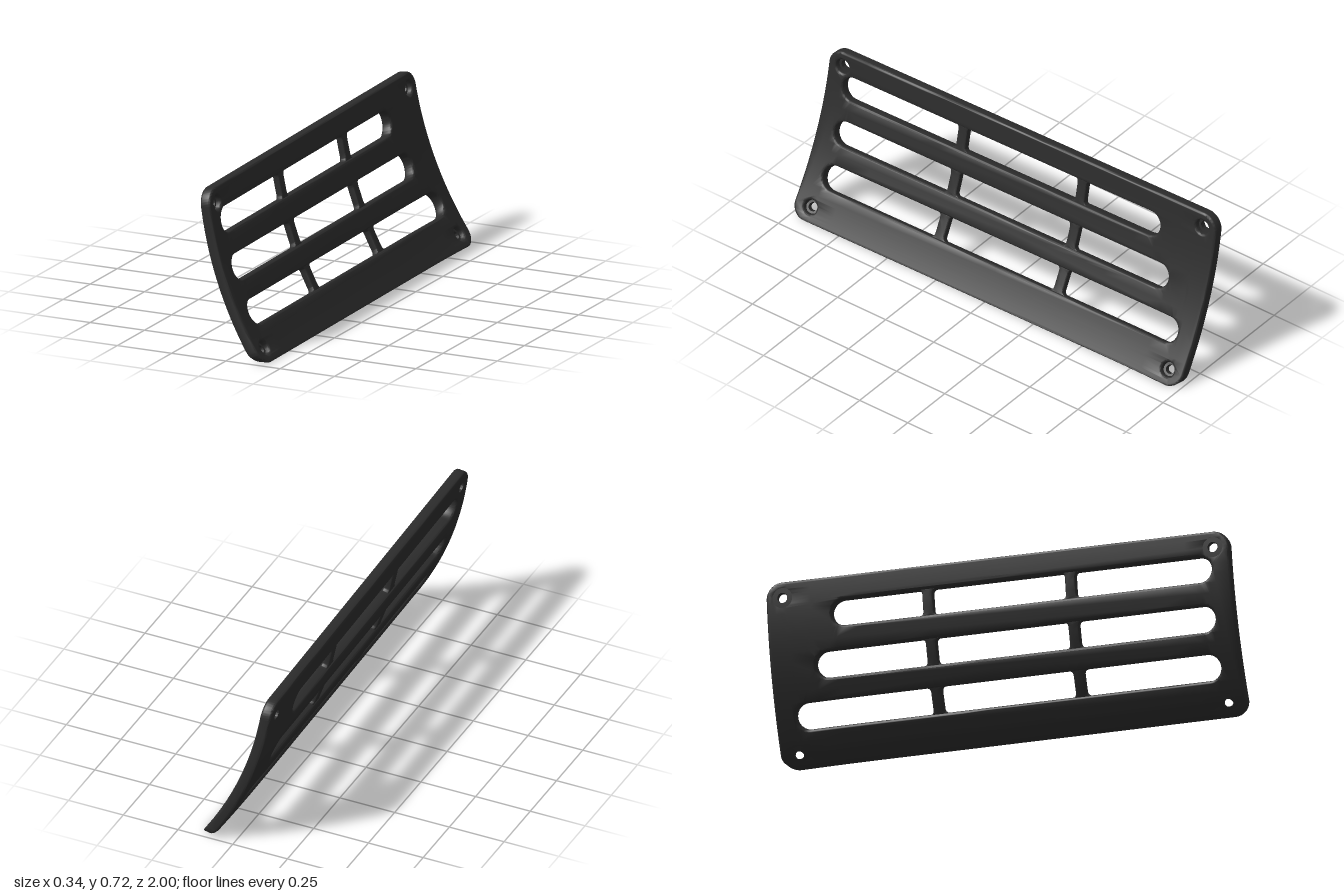
import * as THREE from 'three';
import { toCreasedNormals } from 'three/addons/utils/BufferGeometryUtils.js';

// Plate is drawn flat (a along its length, s up its arc, c through its thickness), then bent.
const T = 0.048, L = 0.773, TH0 = 0.611, R = 1.528, BEVEL = 0.01;

const material = new THREE.MeshStandardMaterial({ color: 0x2c2c2c });

// Keep the part of a polygon on one side of a plane
function clip(poly, axis, level, sign) {
  const out = [];
  poly.forEach((p, i) => {
    const q = poly[(i + 1) % poly.length];
    const dp = (p[axis] - level) * sign, dq = (q[axis] - level) * sign;
    if (dp >= 0) out.push(p);
    if ((dp > 0 && dq < 0) || (dp < 0 && dq > 0)) out.push(p.clone().lerp(q, dp / (dp - dq)));
  });
  return out;
}

// Cut triangles into bands so that flat faces can bend
function slice(tris, axis, step) {
  const out = [];
  for (const tri of tris) {
    const v = tri.map((p) => p[axis]);
    const lo = Math.floor(Math.min(...v) / step), hi = Math.floor(Math.max(...v) / step);
    for (let k = lo; k <= hi; k++) {
      const poly = clip(clip(tri, axis, k * step, 1), axis, (k + 1) * step, -1);
      for (let i = 1; i + 1 < poly.length; i++) {
        const t = [poly[0], poly[i], poly[i + 1]];
        if (new THREE.Triangle(...t).getArea() > 1e-10) out.push(t);
      }
    }
  }
  return out;
}

// Flat point to curved point: circular arc, skewed a little along the length
function bend(p) {
  const s = p.y, z = -p.x, d = T - p.z, th = TH0 - s / R;
  const flare = 0.01 * Math.max(0, (-z - 0.6) / 0.4) ** 2 * (1 - s / L);
  const x = 0.163 - R * (Math.cos(th) - Math.cos(TH0)) + z * (0.015 + 0.0065 * s / L) + flare;
  const y = R * (Math.sin(TH0) - Math.sin(th));
  const tilt = THREE.MathUtils.clamp(s / 0.08, 0, 1);
  return [x - d * Math.cos(th), y - d * Math.sin(th) * tilt, z];
}

function bentMesh(geometry, name) {
  const g = geometry.index ? geometry.toNonIndexed() : geometry;
  const pos = g.attributes.position;
  let tris = [];
  for (let i = 0; i < pos.count; i += 3) {
    tris.push([0, 1, 2].map((j) => new THREE.Vector3().fromBufferAttribute(pos, i + j)));
  }
  tris = slice(slice(tris, 'y', 0.04), 'x', 0.1);
  const bent = new THREE.BufferGeometry();
  bent.setAttribute('position', new THREE.Float32BufferAttribute(tris.flat().flatMap(bend), 3));
  const mesh = new THREE.Mesh(toCreasedNormals(bent, 0.65), material);
  mesh.name = name;
  return mesh;
}

function extrude(shape, from, to, bevel) {
  const g = new THREE.ExtrudeGeometry(shape, {
    depth: to - from - 2 * bevel, bevelThickness: bevel, bevelSize: bevel,
    bevelOffset: -bevel, bevelSegments: 3, curveSegments: 10,
  });
  return g.translate(0, 0, from + bevel);
}

function circlePath(x, y, r) {
  return new THREE.Path().absarc(x, y, r, 0, Math.PI * 2, true);
}

// Slot with round ends
function slotPath(a0, a1, s, r) {
  const p = new THREE.Path();
  p.absarc(a0 + r, s, r, -Math.PI / 2, Math.PI / 2, true);
  p.absarc(a1 - r, s, r, Math.PI / 2, -Math.PI / 2, true);
  p.closePath();
  return p;
}

// Slightly tapered outline with rounded corners
function plateShape() {
  const r = 0.07, b = 1.0, t = 0.99, k = new THREE.Shape();
  k.moveTo(-b + r, 0);
  k.lineTo(b - r, 0);
  k.absarc(b - r, r, r, -Math.PI / 2, 0, false);
  k.lineTo(t, L - r);
  k.absarc(t - r, L - r, r, 0, Math.PI / 2, false);
  k.lineTo(-t + r, L);
  k.absarc(-t + r, L - r, r, Math.PI / 2, Math.PI, false);
  k.lineTo(-b, r);
  k.absarc(-b + r, r, r, Math.PI, Math.PI * 1.5, false);
  return k;
}

// Cross rib that widens in a fillet where it meets the slot walls
function ribShape(a, s, slotR) {
  const w = 0.023, f = 0.02, h = slotR + 0.005, e = slotR - f;
  const k = new THREE.Shape();
  k.moveTo(a - w - f, s - h);
  k.lineTo(a + w + f, s - h);
  k.lineTo(a + w + f, s - slotR);
  k.quadraticCurveTo(a + w, s - slotR, a + w, s - e);
  k.lineTo(a + w, s + e);
  k.quadraticCurveTo(a + w, s + slotR, a + w + f, s + slotR);
  k.lineTo(a + w + f, s + h);
  k.lineTo(a - w - f, s + h);
  k.lineTo(a - w - f, s + slotR);
  k.quadraticCurveTo(a - w, s + slotR, a - w, s + e);
  k.lineTo(a - w, s - e);
  k.quadraticCurveTo(a - w, s - slotR, a - w - f, s - slotR);
  return k;
}

export function createModel() {
  const group = new THREE.Group();
  group.name = 'ventPlate';
  const slotR = 0.054;
  const slots = [[0.218, 0.91], [0.416, 0.8], [0.62, 0.715]]; // arc height, far end
  const screws = [];
  for (const a of [-0.92, 0.92]) for (const s of [0.066, 0.706]) screws.push([a, s]);

  // Plate with three long slots and four corner holes
  const shape = plateShape();
  for (const [s, end] of slots) shape.holes.push(slotPath(-0.91, end, s, slotR));
  for (const [a, s] of screws) shape.holes.push(circlePath(a, s, 0.032));
  group.add(bentMesh(extrude(shape, 0, T, BEVEL), 'plate'));

  // Two ribs across each slot
  for (const [s] of slots) {
    for (const a of [-0.305, 0.305]) {
      group.add(bentMesh(extrude(ribShape(a, s, slotR), 0.009, T - 0.009, 0.005), 'rib'));
    }
  }

  // Seats that narrow the corner holes towards the back
  const profile = [[0.034, T / 2], [0.021, T / 2], [0.021, 0], [0.042, 0]]
    .map(([r, y]) => new THREE.Vector2(r, y));
  for (const [a, s] of screws) {
    const seat = new THREE.LatheGeometry(profile, 40).rotateX(Math.PI / 2).translate(a, s, 0);
    group.add(bentMesh(seat, 'screwSeat'));
  }
  return group;
}
